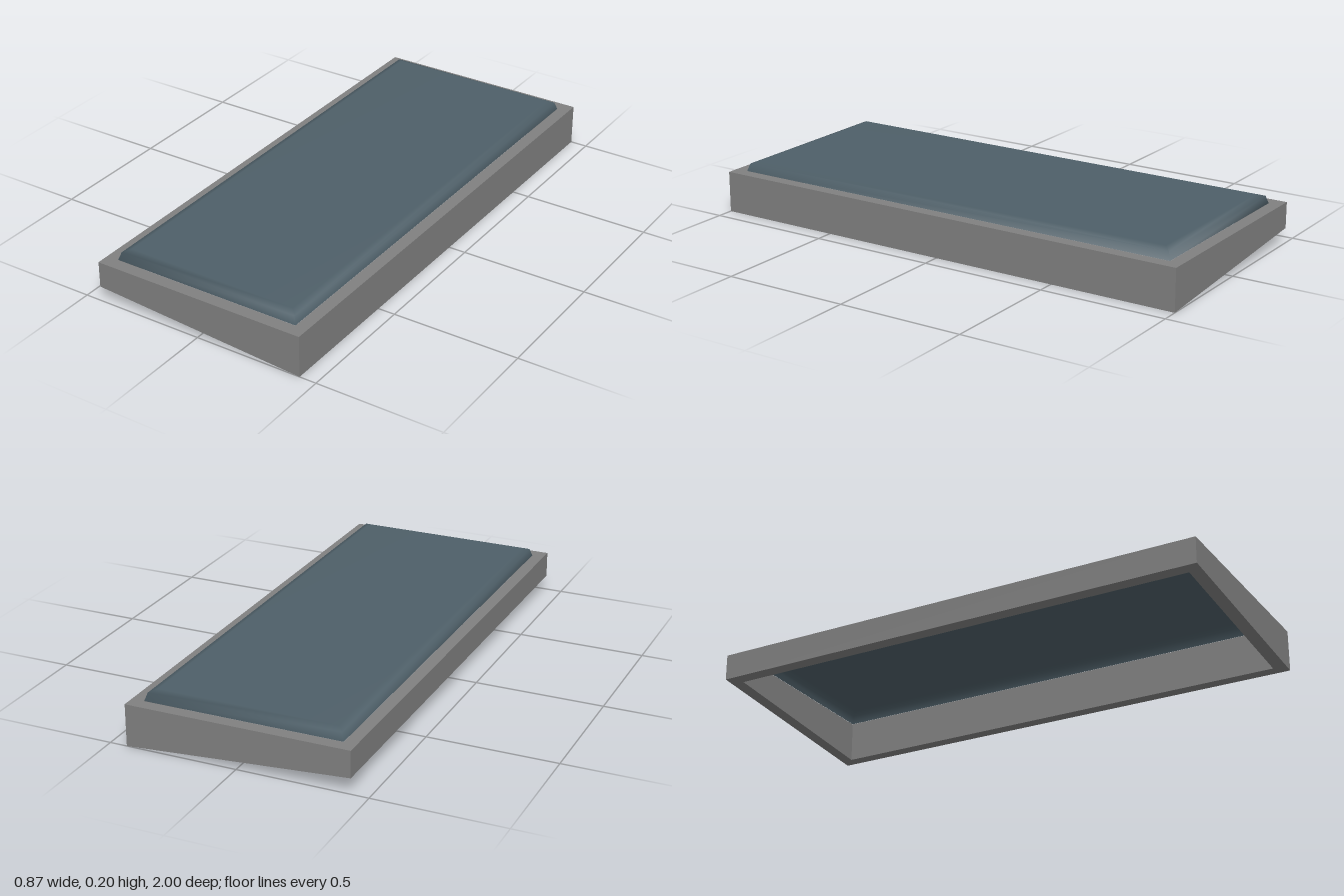
import * as THREE from 'three';

const frameGrey = new THREE.MeshStandardMaterial({ color: 0x808080 });
frameGrey.name = 'frame grey';
const padBlue = new THREE.MeshStandardMaterial({ color: 0x4e5f68, side: THREE.DoubleSide });
padBlue.name = 'slate blue pad';

// Four corners of a rectangle, going round from the front left of the sheet;
// the height may differ between the -x and +x sides
function ring(x, z, yMinus, yPlus = yMinus) {
  return [[-x, yMinus, z], [x, yPlus, z], [x, yPlus, -z], [-x, yMinus, -z]];
}

// Joins consecutive rings with quads, optionally looping back or capping the last ring
function skin(rings, { loop = false, cap = false }) {
  const index = [];
  const spans = loop ? rings.length : rings.length - 1;
  for (let r = 0; r < spans; r++) {
    const low = r * 4, high = ((r + 1) % rings.length) * 4;
    for (let i = 0; i < 4; i++) {
      const j = (i + 1) % 4;
      index.push(low + i, low + j, high + j, low + i, high + j, high + i);
    }
  }
  if (cap) {
    const t = (rings.length - 1) * 4;
    index.push(t, t + 1, t + 2, t, t + 2, t + 3);
  }
  const geometry = new THREE.BufferGeometry();
  geometry.setAttribute('position', new THREE.Float32BufferAttribute(rings.flat(2), 3));
  geometry.setIndex(index);
  return geometry;
}

export function createModel() {
  const model = new THREE.Group();
  model.name = 'wedgePanel';

  // Hollow rectangular frame with a sloping underside
  const frameGeometry = skin([
    ring(0.385, 0.95, 0.057, 0),
    ring(0.433, 1, 0.06, 0),
    ring(0.433, 1, 0.163),
    ring(0.385, 0.95, 0.163),
  ], { loop: true }).toNonIndexed();
  frameGeometry.computeVertexNormals();
  const frame = new THREE.Mesh(frameGeometry, frameGrey);
  frame.name = 'frame';

  // Thin raised pad with softly rounded edges, open underneath
  const padGeometry = skin([
    ring(0.384, 0.949, 0.163),
    ring(0.374, 0.939, 0.193),
    ring(0.348, 0.913, 0.202),
  ], { cap: true });
  padGeometry.computeVertexNormals();
  const pad = new THREE.Mesh(padGeometry, padBlue);
  pad.name = 'pad';

  model.add(frame, pad);
  return model;
}
